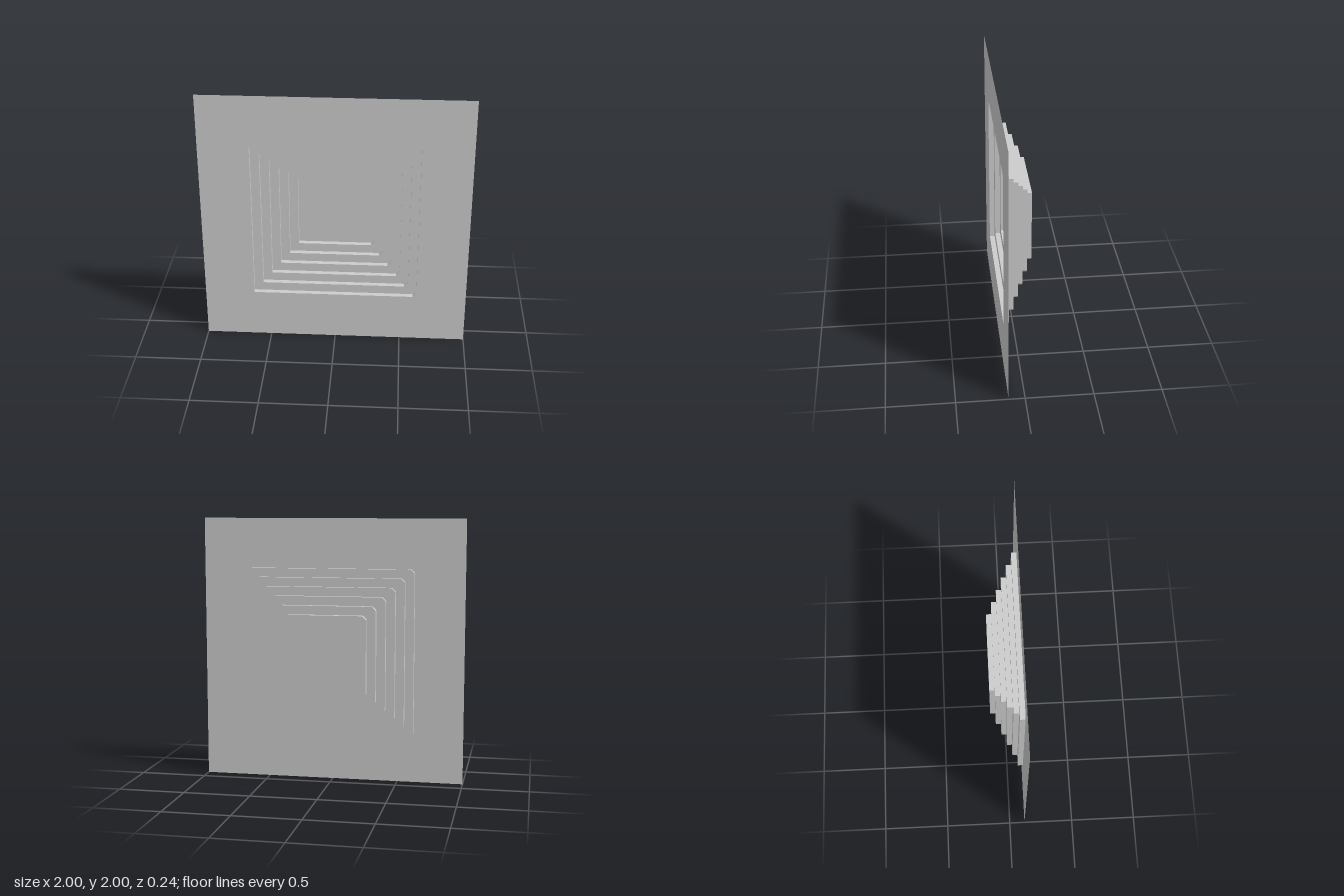
import * as THREE from 'three';

const STEPS = 6;
const DEPTH = 0.238;           // total depth of the recess
const FRONT_Z = DEPTH / 2;
const RISE = DEPTH / STEPS;
const OUTER = 0.623;           // half width of the first opening
const INNER = 0.291;           // half width of the floor
const CUT = 0.028;             // clipped corner size

// Square outline with the upper -x and lower +x corners clipped
function outline(h) {
  return [[-h + CUT, h], [h, h], [h, -h + CUT], [h - CUT, -h], [-h, -h], [-h, h - CUT]]
    .map(([x, y]) => new THREE.Vector2(x, y + 1));
}

// Flat face, optionally with an opening
function flat(points, hole) {
  const shape = new THREE.Shape(points);
  if (hole) shape.holes.push(new THREE.Path(hole));
  return new THREE.ShapeGeometry(shape);
}

// Wall running round an outline, facing inward
function wall(points, zFront, zBack) {
  const pos = [];
  points.forEach((a, i) => {
    const b = points[(i + 1) % points.length];
    pos.push(a.x, a.y, zFront, a.x, a.y, zBack, b.x, b.y, zFront);
    pos.push(b.x, b.y, zFront, a.x, a.y, zBack, b.x, b.y, zBack);
  });
  const geo = new THREE.BufferGeometry();
  geo.setAttribute('position', new THREE.Float32BufferAttribute(pos, 3));
  geo.computeVertexNormals();
  return geo;
}

export function createModel() {
  const group = new THREE.Group();
  group.name = 'steppedPanel';
  const grey = new THREE.MeshStandardMaterial({ color: 0xcccccc, side: THREE.DoubleSide });
  grey.name = 'lightGrey';

  const add = (name, geo, z = 0) => {
    const mesh = new THREE.Mesh(geo, grey);
    mesh.name = name;
    mesh.position.z = z;
    group.add(mesh);
  };

  const half = (i) => OUTER + (INNER - OUTER) * i / (STEPS - 1);

  // Square sheet around the recess
  const sheet = [[-1, 0], [1, 0], [1, 2], [-1, 2]].map(([x, y]) => new THREE.Vector2(x, y));
  add('panelSheet', flat(sheet, outline(half(0))), FRONT_Z);

  // Shrinking steps: a wall, then a ledge, ending in the floor
  for (let i = 0; i < STEPS; i++) {
    const z = FRONT_Z - i * RISE;
    const last = i === STEPS - 1;
    add('stepWall' + (i + 1), wall(outline(half(i)), z, z - RISE));
    add(last ? 'recessFloor' : 'stepLedge' + (i + 1),
      flat(outline(half(i)), last ? null : outline(half(i + 1))), z - RISE);
  }
  return group;
}
